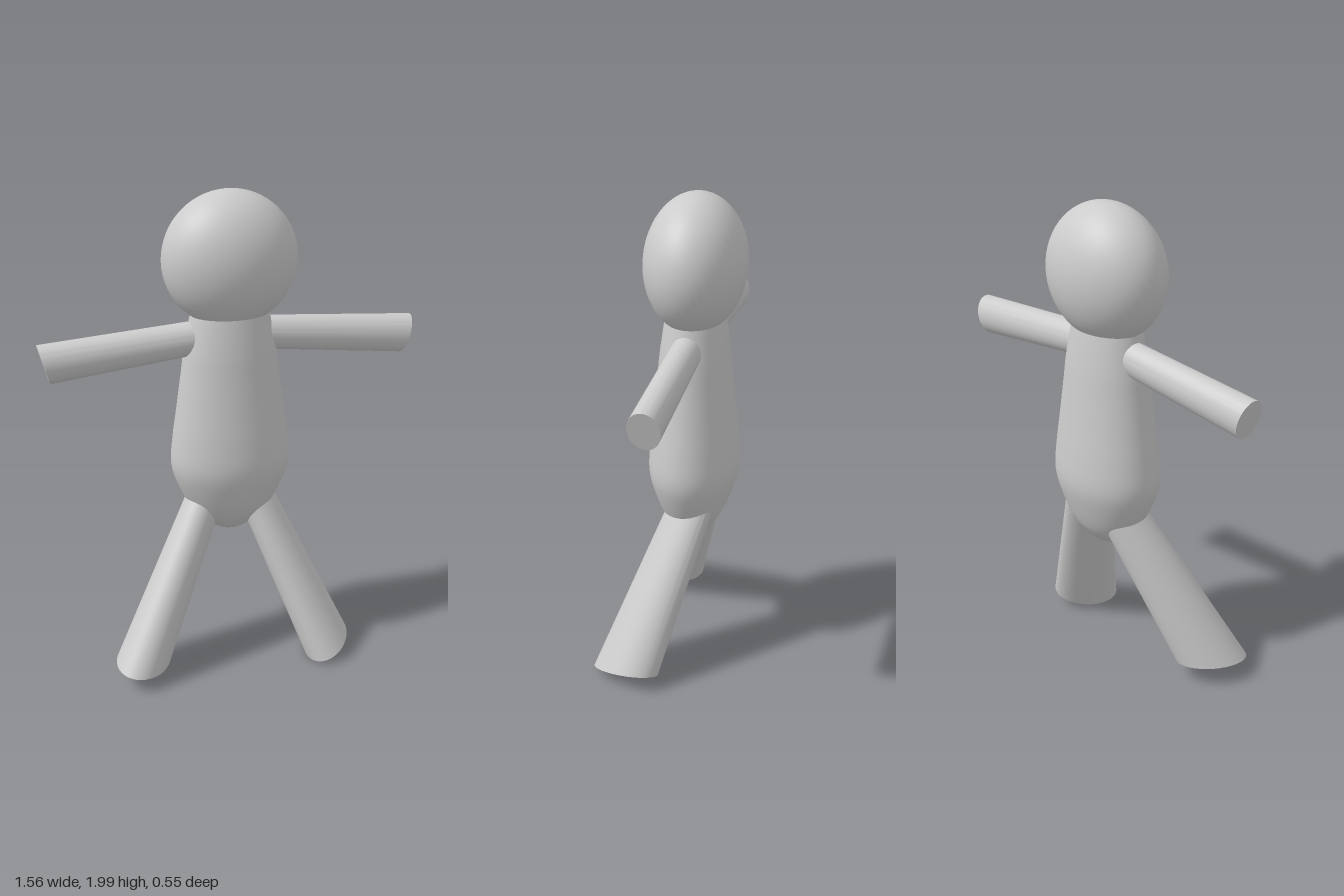
import * as THREE from 'three';
import { toCreasedNormals } from 'three/addons/utils/BufferGeometryUtils.js';

const material = new THREE.MeshStandardMaterial({ color: 0xcccccc });
const DEPTH = 0.73; // the figure is flattened front to back
const MID_Z = -0.07;

function addMesh(group, name, geometry) {
  const mesh = new THREE.Mesh(geometry, material);
  mesh.name = name;
  group.add(mesh);
  return mesh;
}

// Tapered limb with an elliptical, freely tilted end.
// u and v are the half axes of the outer end; taperU and taperV shrink them at the root.
function limbGeometry(root, end, u, v, taperU, taperV) {
  const geometry = new THREE.CylinderGeometry(1, 1, 1, 48);
  const pos = geometry.attributes.position;
  const [a, b, U, V] = [root, end, u, v].map((p) => new THREE.Vector3(...p));
  const p = new THREE.Vector3();
  for (let i = 0; i < pos.count; i++) {
    const t = pos.getY(i) + 0.5;
    p.lerpVectors(b, a, t)
      .addScaledVector(U, pos.getX(i) * THREE.MathUtils.lerp(1, taperU, t))
      .addScaledVector(V, pos.getZ(i) * THREE.MathUtils.lerp(1, taperV, t));
    pos.setXYZ(i, p.x, p.y, p.z);
  }
  return toCreasedNormals(geometry, 0.6);
}

export function createModel() {
  const model = new THREE.Group();
  model.name = 'figure';

  // Head: flattened sphere
  const head = addMesh(model, 'head', new THREE.SphereGeometry(0.275, 48, 32));
  head.scale.z = DEPTH;
  head.position.set(0, 1.725, MID_Z);

  // Body: pear-shaped lathe, closed at the top inside the head
  const profile = new THREE.SplineCurve([
    [0, 0.545], [0.05, 0.558], [0.1, 0.59], [0.165, 0.655], [0.22, 0.76], [0.25, 0.86],
    [0.242, 0.98], [0.225, 1.1], [0.203, 1.26], [0.19, 1.36], [0.163, 1.5], [0.15, 1.54],
  ].map(([x, y]) => new THREE.Vector2(x, y))).getPoints(44);
  profile[0].x = 0;
  profile.push(new THREE.Vector2(0, 1.55));
  const body = addMesh(model, 'body', new THREE.LatheGeometry(profile, 64));
  body.scale.z = DEPTH;
  body.position.z = MID_Z;

  // Arms: mirrored, drooping slightly
  for (const [name, s] of [['leftArm', 1], ['rightArm', -1]]) {
    addMesh(model, name, limbGeometry(
      [0.1 * s, 1.413, MID_Z], [0.757 * s, 1.352, MID_Z],
      [0.022, 0.08 * s, 0], [0, 0, 0.0625], 0.84, 0.97));
  }

  // Legs: each has its own stride and foot tilt
  addMesh(model, 'leftLeg', limbGeometry(
    [0.085, 0.75, -0.09], [0.375, 0.046, 0.13],
    [0.1, 0.04, -0.04], [0, -0.005, 0.139], 0.7, 0.66));
  addMesh(model, 'rightLeg', limbGeometry(
    [-0.085, 0.75, -0.09], [-0.432, 0.077, 0.13],
    [0.12, -0.009, -0.04], [0, -0.012, 0.139], 0.7, 0.66));

  return model;
}
